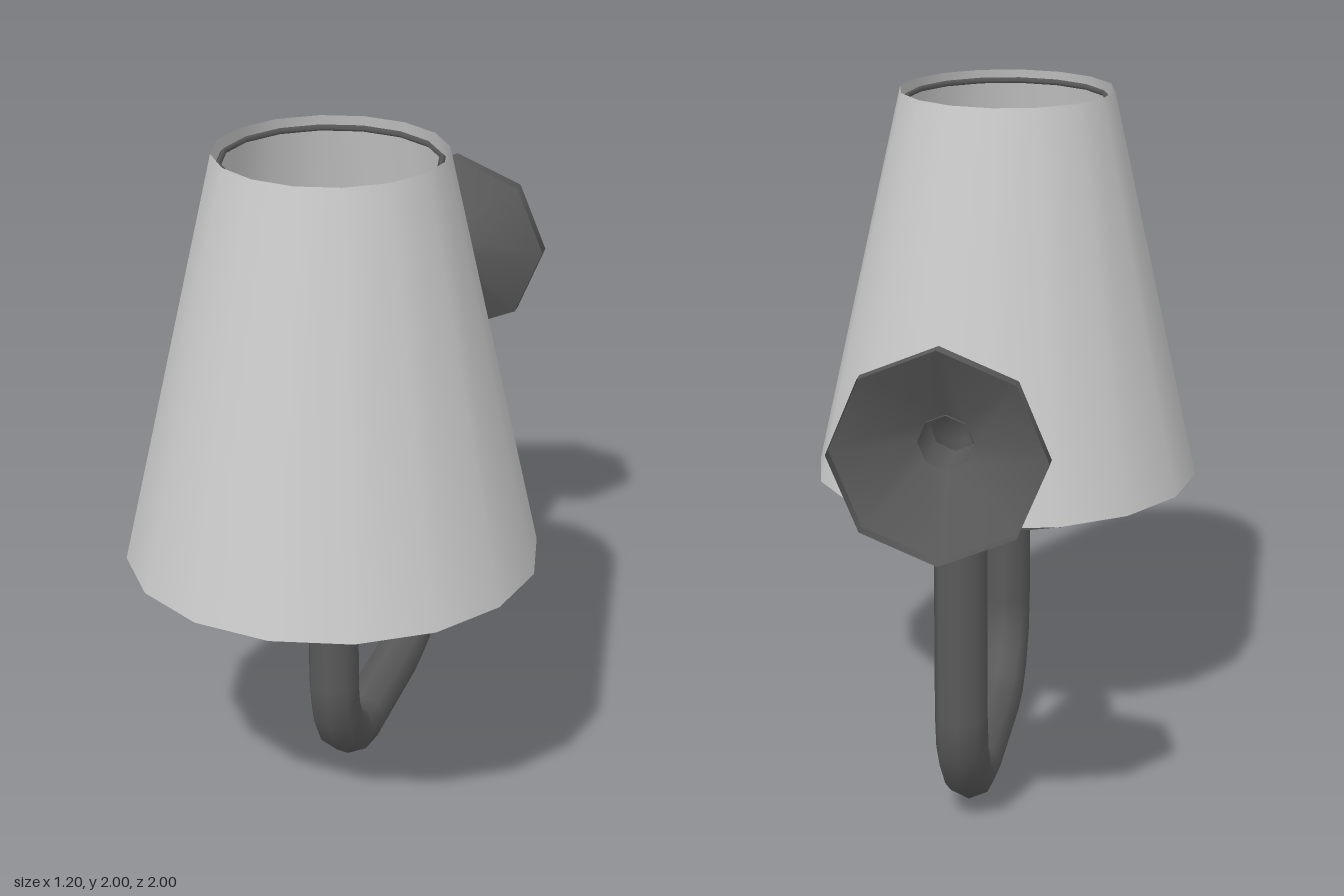
import * as THREE from 'three';

const shadeMat = new THREE.MeshStandardMaterial({ color: 0xcccccc, side: THREE.DoubleSide });
const metal = new THREE.MeshStandardMaterial({ color: 0x5a5a5a, side: THREE.DoubleSide });
const bulbMat = new THREE.MeshStandardMaterial({ color: 0x8f6f38 });
const SHADE_Z = 0.4;

function add(parent, name, geometry, material, x = 0, y = 0, z = 0) {
  const mesh = new THREE.Mesh(geometry, material);
  mesh.name = name;
  mesh.position.set(x, y, z);
  parent.add(mesh);
  return mesh;
}

// Path in the yz plane that keeps exactly the given points and tangents
class BentPath extends THREE.Curve {
  constructor() {
    super();
    this.points = [];
    this.tangents = [];
  }
  push(z, y, tz, ty) {
    this.points.push(new THREE.Vector3(0, y, z));
    this.tangents.push(new THREE.Vector3(0, ty, tz).normalize());
  }
  // Arc about (cz, cy) from angle a to angle b
  bend(cz, cy, r, a, b, steps) {
    const dir = Math.sign(b - a);
    for (let i = 0; i <= steps; i++) {
      const t = a + (b - a) * i / steps;
      this.push(cz + r * Math.cos(t), cy + r * Math.sin(t), -dir * Math.sin(t), dir * Math.cos(t));
    }
  }
  index(u) { return Math.round(u * (this.points.length - 1)); }
  getPoint(u, target = new THREE.Vector3()) { return target.copy(this.points[this.index(u)]); }
  getPointAt(u, target) { return this.getPoint(u, target); }
  getTangentAt(u, target = new THREE.Vector3()) { return target.copy(this.tangents[this.index(u)]); }
}

function makeArm() {
  const path = new BentPath();
  path.push(SHADE_Z, 0.84, 0, -1);
  path.bend(0.125, 0.35, 0.275, 0, -Math.PI / 2, 4);
  path.bend(-0.305, 0.35, 0.275, -Math.PI / 2, -Math.PI, 4);
  path.bend(-0.68, 1.165, 0.1, 0, Math.PI / 2, 3);
  path.push(-0.85, 1.265, -1, 0);
  return new THREE.TubeGeometry(path, path.points.length - 1, 0.077, 8, false);
}

export function createModel() {
  const lamp = new THREE.Group();
  lamp.name = 'wallLamp';

  add(lamp, 'arm', makeArm(), metal);

  // Hollow wall plate: flared cone and short rim, open at the back
  const plate = new THREE.Group();
  plate.name = 'wallPlate';
  plate.position.set(0, 1.265, -1);
  plate.rotation.x = Math.PI / 2;
  lamp.add(plate);
  add(plate, 'plateRim', new THREE.CylinderGeometry(0.3, 0.3, 0.045, 8, 1, true), metal, 0, 0.0225, 0);
  add(plate, 'plateCone', new THREE.CylinderGeometry(0.077, 0.3, 0.115, 8, 1, true), metal, 0, 0.1025, 0);

  const head = new THREE.Group();
  head.name = 'lampHead';
  head.position.z = SHADE_Z;
  lamp.add(head);

  add(head, 'dish', new THREE.CylinderGeometry(0.28, 0.28, 0.05, 8), metal, 0, 0.688, 0);

  // Bulb: narrow neck swelling to a rounded top
  const profile = [[0, 0.8], [0.085, 0.8], [0.11, 0.87], [0.155, 1.0], [0.175, 1.12],
    [0.165, 1.2], [0.125, 1.27], [0.065, 1.31], [0, 1.32]];
  const bulb = new THREE.LatheGeometry(profile.map(([r, y]) => new THREE.Vector2(r, y)), 9);
  add(head, 'bulb', bulb, bulbMat).rotation.y = Math.PI;

  // Open tapered shade with a wire ring near each end
  add(head, 'shade', new THREE.CylinderGeometry(0.33, 0.6, 1.21, 16, 1, true), shadeMat, 0, 1.395, 0);
  for (const [name, r, y] of [['topRing', 0.309, 1.97], ['bottomRing', 0.577, 0.822]]) {
    add(head, name, new THREE.TorusGeometry(r, 0.009, 4, 16), metal, 0, y, 0).rotation.x = Math.PI / 2;
  }

  // Four spokes rising from the stem to the bottom ring
  for (let i = 0; i < 4; i++) {
    const spoke = new THREE.Group();
    spoke.name = 'spoke';
    spoke.rotation.y = i * Math.PI / 2;
    head.add(spoke);
    const line = new THREE.LineCurve3(new THREE.Vector3(0.05, 0.705, 0), new THREE.Vector3(0.577, 0.822, 0));
    add(spoke, 'spokeWire', new THREE.TubeGeometry(line, 1, 0.008, 4, false), metal);
  }

  return lamp;
}
